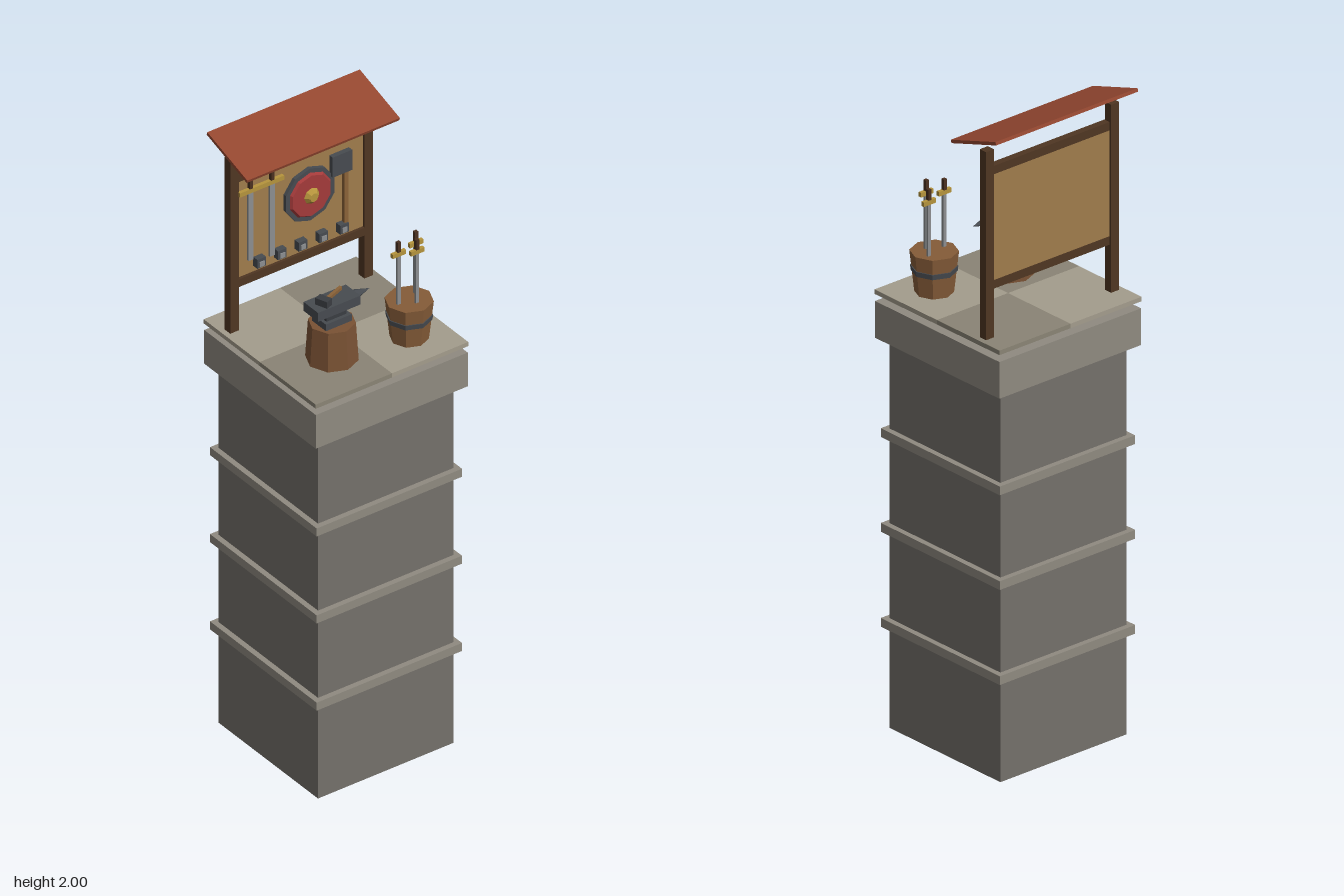
import * as THREE from 'three';

const mats = {};
function mat(color) {
  return (mats[color] ??= new THREE.MeshStandardMaterial({ color, flatShading: true }));
}
const C = {
  stone: 0x74706a, trim: 0x8f8a80, tileLight: 0xa39c8c, tileDark: 0x8a8475,
  timber: 0x4f3622, panel: 0xa07c4c, roof: 0x944730, stump: 0x7a5234, barrel: 0x855c38,
  iron: 0x474b50, darkIron: 0x3a3d42, steel: 0x8c8e90, gold: 0xb5943c, grip: 0x4a3020,
  red: 0xa33a3a, handle: 0x8a6238,
};

function add(parent, name, geo, color, x = 0, y = 0, z = 0) {
  const m = new THREE.Mesh(geo, mat(color));
  m.name = name;
  m.position.set(x, y, z);
  parent.add(m);
  return m;
}
const box = (p, name, c, w, h, d, x, y, z) => add(p, name, new THREE.BoxGeometry(w, h, d), c, x, y, z);
const cyl = (p, name, c, rTop, rBot, h, n, x, y, z) =>
  add(p, name, new THREE.CylinderGeometry(rTop, rBot, h, n), c, x, y, z);

function group(parent, name, x = 0, y = 0, z = 0) {
  const g = new THREE.Group();
  g.name = name;
  g.position.set(x, y, z);
  parent.add(g);
  return g;
}

// Sword with its guard at the origin and the blade pointing down
function sword(parent, name, x, y, z, blade, guard, bladeW, gripH) {
  const g = group(parent, name, x, y, z);
  box(g, 'blade', C.steel, bladeW, blade, 0.007, 0, -blade / 2, 0);
  box(g, 'guard', C.gold, guard, 0.014, 0.011, 0, 0, 0);
  box(g, 'grip', C.grip, 0.011, gripH, 0.011, 0, gripH / 2 + 0.006, 0);
  return g;
}

export function createModel() {
  const model = new THREE.Group();
  model.name = 'smithyTower';

  // Stone column, string courses and cap
  box(model, 'column', C.stone, 0.47, 1.21, 0.47, 0, 0.605, 0);
  for (const y of [0.327, 0.622, 0.916]) box(model, 'stoneBand', C.trim, 0.505, 0.027, 0.505, 0, y, 0);
  box(model, 'cap', C.trim, 0.528, 0.114, 0.528, 0, 1.267, 0);

  // Checkered floor slabs, raised just above the cap
  const floor = group(model, 'floor', 0, 1.353, 0);
  for (const sx of [-1, 1]) for (const sz of [-1, 1]) {
    box(floor, 'floorTile', sx * sz > 0 ? C.tileLight : C.tileDark, 0.265, 0.014, 0.265, sx * 0.1325, 0, sz * 0.1325);
  }

  // Tool rack: posts, panel, rails and sloping roof
  const rack = group(model, 'toolRack');
  for (const s of [-1, 1]) box(rack, 'post', C.timber, 0.03, 0.585, 0.027, s * 0.233, 1.651, -0.176);
  box(rack, 'backPanel', C.panel, 0.44, 0.365, 0.012, 0, 1.697, -0.176);
  for (const y of [1.52, 1.875]) box(rack, 'rail', C.timber, 0.44, 0.026, 0.022, 0, y, -0.172);
  const roof = box(rack, 'roof', C.roof, 0.53, 0.01, 0.199, 0, 1.9665, -0.155);
  roof.rotation.x = 0.31;

  // Hanging swords
  sword(rack, 'hangingSword', -0.18, 1.82, -0.16, 0.235, 0.08, 0.017, 0.03);
  sword(rack, 'hangingSword', -0.106, 1.82, -0.16, 0.25, 0.08, 0.017, 0.03);

  // Round shield facing forward
  const shield = group(rack, 'shield', 0.025, 1.725, -0.162);
  shield.rotation.x = Math.PI / 2;
  cyl(shield, 'shieldRim', C.iron, 0.088, 0.088, 0.012, 10, 0, 0, 0);
  cyl(shield, 'shieldFace', C.red, 0.068, 0.075, 0.008, 10, 0, 0.009, 0);
  cyl(shield, 'shieldBoss', C.gold, 0.014, 0.027, 0.014, 8, 0, 0.019, 0);

  // Hanging axe
  const axe = group(rack, 'axe', 0.15, 0, -0.16);
  box(axe, 'axeHandle', C.handle, 0.013, 0.26, 0.012, 0, 1.69, 0);
  box(axe, 'axeHead', C.iron, 0.068, 0.068, 0.016, -0.018, 1.79, 0.003);

  // Row of pegs along the lower part of the panel
  for (let i = 0; i < 5; i++) {
    box(rack, 'peg', C.iron, 0.03, 0.03, 0.02, -0.148 + i * 0.072, 1.567, -0.16);
    box(rack, 'pegPlate', C.steel, 0.017, 0.016, 0.004, -0.148 + i * 0.072, 1.564, -0.149);
  }

  // Anvil on a stump
  const anvil = group(model, 'anvil', -0.089, 1.36, 0.102);
  cyl(anvil, 'stump', C.stump, 0.068, 0.076, 0.125, 8, 0, 0.0625, 0);
  box(anvil, 'anvilFoot', C.iron, 0.09, 0.022, 0.066, 0, 0.136, 0);
  box(anvil, 'anvilWaist', C.darkIron, 0.07, 0.028, 0.044, 0, 0.159, 0);
  box(anvil, 'anvilTop', C.iron, 0.147, 0.03, 0.069, 0, 0.184, 0);
  const horn = add(anvil, 'anvilHorn', new THREE.ConeGeometry(0.02, 0.06, 8), C.iron, 0.101, 0.183, 0);
  horn.rotation.z = -Math.PI / 2;
  horn.scale.x = 0.75;

  // Hammer lying on the anvil
  const hammer = group(anvil, 'hammer', -0.037, 0.209, 0.011);
  hammer.rotation.y = 0.35;
  box(hammer, 'hammerHead', C.darkIron, 0.025, 0.022, 0.04, 0, 0.002, 0);
  box(hammer, 'hammerHandle', C.handle, 0.085, 0.01, 0.01, 0.044, 0, 0);

  // Barrel of finished swords
  const barrel = group(model, 'barrel', 0.147, 1.36, 0.146);
  cyl(barrel, 'barrelBody', C.barrel, 0.07, 0.056, 0.127, 8, 0, 0.0635, 0);
  cyl(barrel, 'barrelHoop', C.iron, 0.068, 0.066, 0.016, 8, 0, 0.073, 0);
  for (const [x, z, y] of [[-0.038, 0.001, 0.297], [0.035, -0.017, 0.294], [0.008, 0.025, 0.3]]) {
    sword(barrel, 'barrelSword', x, y, z, 0.2, 0.046, 0.012, 0.034);
  }
  return model;
}
